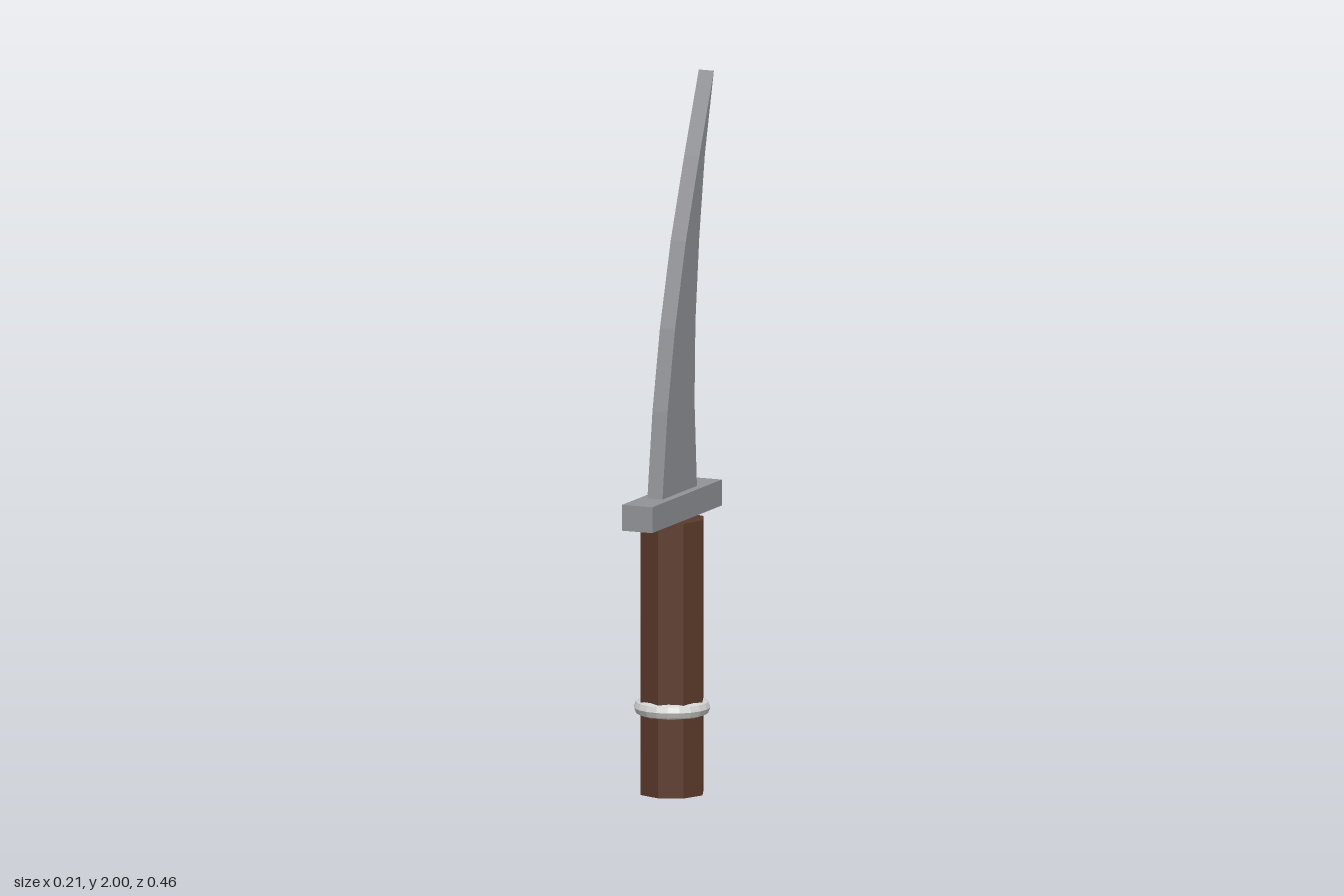
import * as THREE from 'three';

export function createModel() {
  const group = new THREE.Group();

  const material = (name, color) => {
    const m = new THREE.MeshStandardMaterial({ color, flatShading: true });
    m.name = name;
    return m;
  };
  const wood = material('dark wood', 0x5c3a2b);
  const steel = material('grey steel', 0x929397);
  const silver = material('pale silver', 0xd2d2d0);

  const add = (name, geometry, mat, y = 0) => {
    const mesh = new THREE.Mesh(geometry, mat);
    mesh.name = name;
    mesh.position.y = y;
    group.add(mesh);
    return mesh;
  };

  // Eight-sided grip
  add('handle', new THREE.CylinderGeometry(0.093, 0.093, 0.775, 8), wood, 0.3875);

  // Band around the grip
  add('handleRing', new THREE.TorusGeometry(0.085, 0.022, 8, 20).rotateX(Math.PI / 2), silver, 0.243);

  // Crossguard, long from front to back
  add('guard', new THREE.BoxGeometry(0.092, 0.073, 0.464), steel, 0.8115);

  // Curved blade: side profile as (z, y), front edge up to the tip, then down the back edge
  const profile = [
    [0.114, 0.848], [0.08, 1.088], [0.03, 1.315], [-0.042, 1.55], [-0.132, 1.775],
    [-0.229, 2.0],
    [-0.169, 1.775], [-0.132, 1.55], [-0.106, 1.315], [-0.1, 1.088], [-0.116, 0.848],
  ].map(([z, y]) => new THREE.Vector2(z, y));
  const thickness = 0.046;
  const bladeGeometry = new THREE.ExtrudeGeometry(new THREE.Shape(profile), {
    depth: thickness, bevelEnabled: false,
  });
  bladeGeometry.translate(0, 0, -thickness / 2).rotateY(-Math.PI / 2);
  add('blade', bladeGeometry, steel);

  return group;
}
